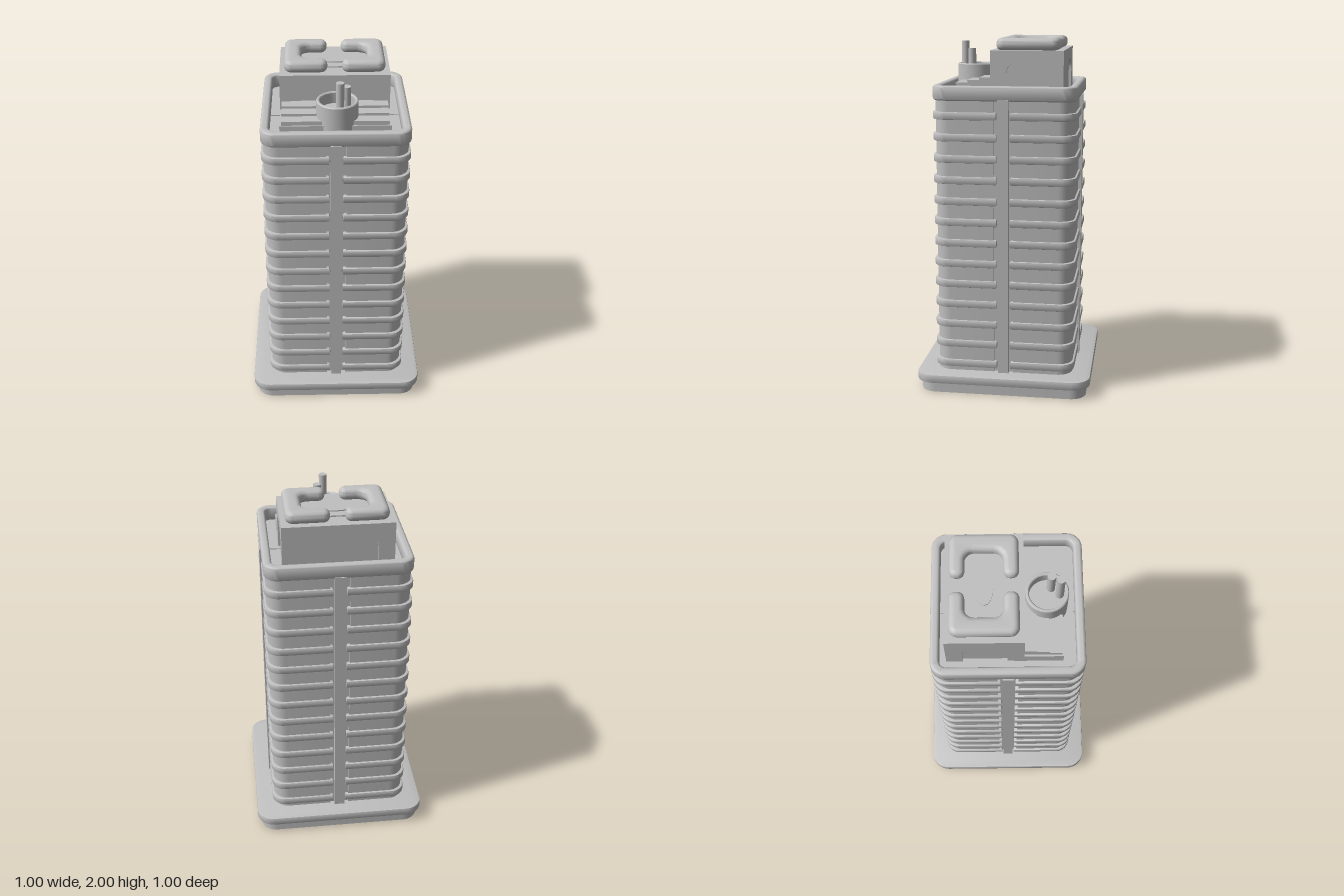
import * as THREE from 'three';
import { toCreasedNormals } from 'three/addons/utils/BufferGeometryUtils.js';

const grey = new THREE.MeshStandardMaterial({ color: 0xc0c0c0 });
grey.name = 'light grey';

// Polygon with rounded corners; each point is [x, y, radius]
function roundPoly(pts, Type = THREE.Shape) {
  const path = new Type();
  pts.forEach(([x, y, r = 0], i) => {
    const here = new THREE.Vector2(x, y);
    const toward = ([px, py]) =>
      new THREE.Vector2(px, py).sub(here).normalize().multiplyScalar(r).add(here);
    const a = toward(pts[(i + pts.length - 1) % pts.length]);
    const b = toward(pts[(i + 1) % pts.length]);
    if (i === 0) path.moveTo(a.x, a.y);
    else path.lineTo(a.x, a.y);
    if (r > 0) path.bezierCurveTo(
      a.x + (x - a.x) * 0.55, a.y + (y - a.y) * 0.55,
      b.x + (x - b.x) * 0.55, b.y + (y - b.y) * 0.55, b.x, b.y);
  });
  path.closePath();
  return path;
}

const square = (h, r, Type) =>
  roundPoly([[-h, -h, r], [h, -h, r], [h, h, r], [-h, h, r]], Type);

// Rounded square with a notch in the middle of every side
function notched(h, r, notch, depth) {
  const pts = [];
  for (let i = 0; i < 4; i++) {
    const c = Math.round(Math.cos(i * Math.PI / 2)), s = Math.round(Math.sin(i * Math.PI / 2));
    for (const [x, y, k] of [[h, h, r], [notch, h, 0], [notch, depth, 0], [-notch, depth, 0], [-notch, h, 0]])
      pts.push([x * c - y * s, x * s + y * c, k]);
  }
  return roundPoly(pts);
}

// Extrude a plan shape (x, -z) upward from y0 to y1
function slab(shape, y0, y1, bevel = 0, segs = 2) {
  const geo = new THREE.ExtrudeGeometry(shape, {
    depth: y1 - y0 - 2 * bevel, bevelEnabled: bevel > 0, bevelThickness: bevel,
    bevelSize: bevel, bevelOffset: -bevel, bevelSegments: segs, curveSegments: 8,
  });
  geo.rotateX(-Math.PI / 2).translate(0, y0 + bevel, 0);
  return toCreasedNormals(geo, 0.7);
}

export function createModel() {
  const model = new THREE.Group();
  model.name = 'tower';
  const add = (name, geo, x = 0, y = 0, z = 0) => {
    const mesh = new THREE.Mesh(geo, grey);
    mesh.name = name;
    mesh.position.set(x, y, z);
    model.add(mesh);
    return mesh;
  };
  const box = (name, x0, x1, y0, y1, z0, z1) =>
    add(name, new THREE.BoxGeometry(x1 - x0, y1 - y0, z1 - z0), (x0 + x1) / 2, (y0 + y1) / 2, (z0 + z1) / 2);

  // Two-step base
  add('lowerBase', slab(square(0.475, 0.09), 0, 0.065));
  add('upperBase', slab(square(0.498, 0.1), 0.06, 0.108, 0.005));

  // Tower body, floor ledges and central ribs
  add('body', slab(notched(0.39, 0.085, 0.055, 0.378), 0.1, 1.67));
  const ledge = slab(notched(0.402, 0.08, 0.038, 0.378), -0.021, 0.021, 0.006);
  for (let i = 0; i < 13; i++) add('ledge', ledge, 0, 0.151 + i * 0.1193, 0);
  box('ribFrontBack', -0.03, 0.03, 0.1, 1.675, -0.408, 0.408);
  box('ribSides', -0.408, 0.408, 0.1, 1.675, -0.03, 0.03);

  // Parapet around the sunken roof
  const rim = square(0.402, 0.08);
  rim.holes.push(square(0.355, 0.04, THREE.Path));
  add('parapet', slab(rim, 1.665, 1.747, 0.015, 4));

  // Penthouse: inner block with an arched frame on every face
  const zMid = -0.1175;
  box('penthouse', -0.285, 0.285, 1.66, 1.935, -0.305, 0.07);
  const frames = [
    [0.3, 0.21, 0, 0.2025], [0.3, 0.21, Math.PI, 0.2025],
    [0.2025, 0.115, Math.PI / 2, 0.3], [0.2025, 0.115, -Math.PI / 2, 0.3],
  ];
  for (const [half, open, turn, out] of frames) {
    const arch = roundPoly([
      [-half, 0], [-open, 0], [-open, 0.21, 0.06], [open, 0.21, 0.06],
      [open, 0], [half, 0], [half, 0.275], [-half, 0.275]]);
    const geo = new THREE.ExtrudeGeometry(arch, { depth: 0.016, bevelEnabled: false, curveSegments: 8 });
    geo.translate(0, 0, out - 0.016);
    add('archFrame', geo, 0, 1.66, zMid).rotation.y = turn;
  }

  // Pair of cushioned C-shaped pads on the penthouse
  for (const s of [1, -1]) {
    const pad = roundPoly([
      [0.04, 0.295, 0.036], [0.275, 0.295, 0.045], [0.275, -0.06, 0.045], [0.04, -0.06, 0.036],
      [0.04, 0.02, 0.036], [0.18, 0.02, 0.05], [0.18, 0.215, 0.05], [0.04, 0.215, 0.036],
    ].map(([x, y, r]) => [x * s, y, r]));
    add(s > 0 ? 'leftPad' : 'rightPad', slab(pad, 1.932, 2, 0.03, 5));
  }
  const plate = roundPoly([[-0.18, 0.02, 0.05], [0.18, 0.02, 0.05], [0.18, 0.215, 0.05], [-0.18, 0.215, 0.05]]);
  add('roofPlate', slab(plate, 1.93, 1.942));
  const lens = new THREE.Shape();
  lens.absellipse(0, 0.1175, 0.103, 0.048, 0, Math.PI * 2);
  add('roofOval', slab(lens, 1.935, 1.948));

  // Stepped annex in front of the penthouse
  box('annexBase', -0.3, 0.297, 1.66, 1.735, 0.08, 0.288);
  [1.785, 1.772, 1.758].forEach((top, i) =>
    box('annexStep', -0.29, 0.288, 1.7, top, 0.08, 0.15 + i * 0.065));

  // Open drum with two pipes
  const profile = [[0, 1.66], [0.113, 1.66], [0.113, 1.845], [0.108, 1.85], [0.1, 1.85], [0.095, 1.845], [0.095, 1.785], [0, 1.785]];
  const drum = new THREE.LatheGeometry(profile.map(p => new THREE.Vector2(...p)), 40);
  add('drum', toCreasedNormals(drum, 0.6), 0.01, 0, 0.205);
  for (const [x, z, top] of [[0.022, 0.272, 1.975], [0.059, 0.227, 1.935]])
    add('pipe', new THREE.CylinderGeometry(0.022, 0.022, top - 1.78, 20), x, (top + 1.78) / 2, z);

  return model;
}
